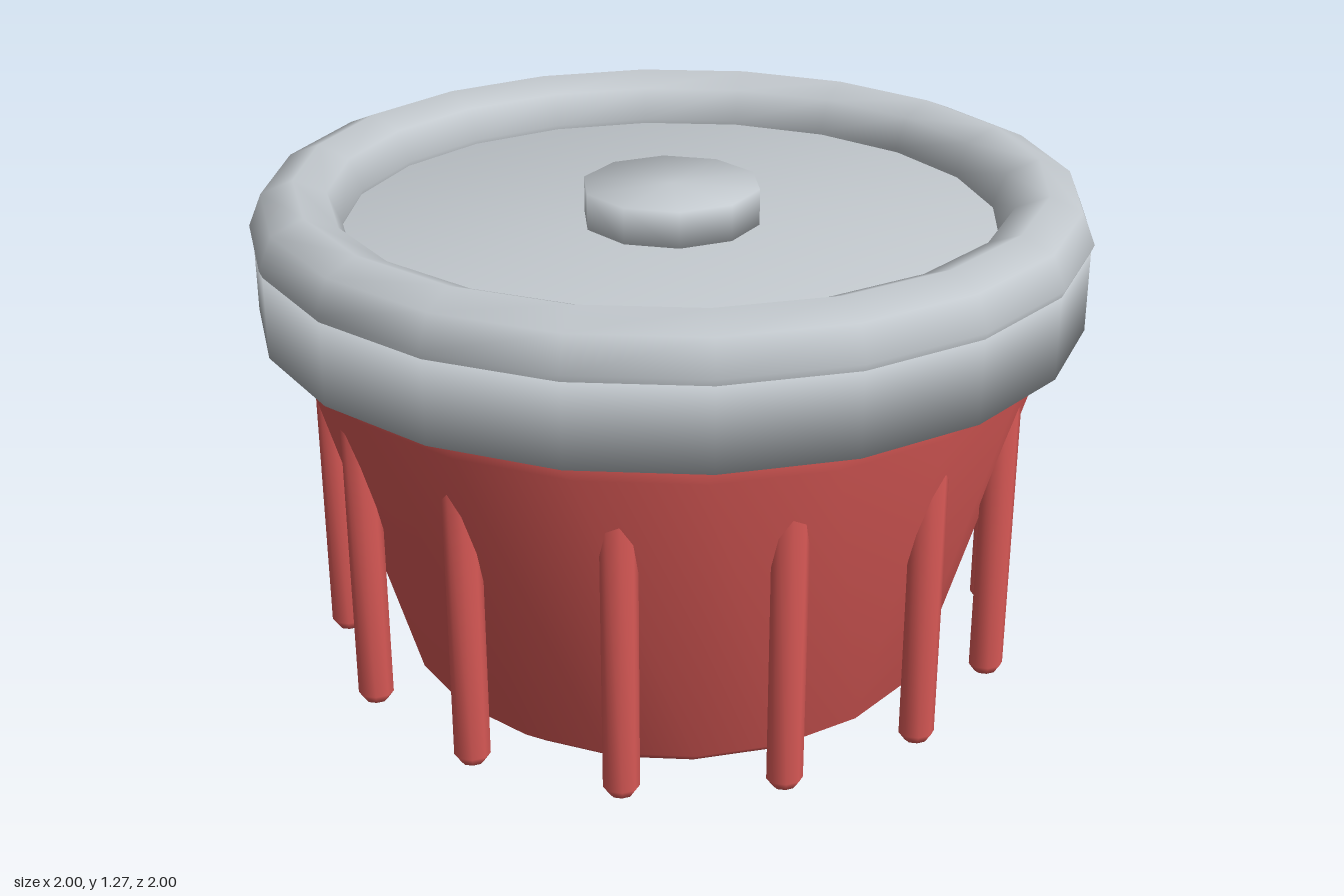
import * as THREE from 'three';
import { mergeVertices } from 'three/addons/utils/BufferGeometryUtils.js';

const SIDES = 20;

// Weld all corners so the shading runs smoothly over every edge
function smooth(geometry) {
  geometry.deleteAttribute('normal');
  geometry.deleteAttribute('uv');
  const welded = mergeVertices(geometry, 1e-4);
  welded.computeVertexNormals();
  return welded;
}

// Closed turned solid from [radius, height] pairs, bottom to top
function turned(profile, sides) {
  const points = profile.map(([r, y]) => new THREE.Vector2(r, y));
  return smooth(new THREE.LatheGeometry(points, sides));
}

export function createModel() {
  const red = new THREE.MeshStandardMaterial({ color: 0xd95956 });
  red.name = 'red';
  const grey = new THREE.MeshStandardMaterial({ color: 0xc3c9ce });
  grey.name = 'light grey';

  const model = new THREE.Group();
  model.name = 'liddedTub';
  const add = (name, geometry, material, parent = model) => {
    const mesh = new THREE.Mesh(geometry, material);
    mesh.name = name;
    parent.add(mesh);
    return mesh;
  };

  // Tapered tub with bevelled base and shoulder
  add('tub', turned([
    [0, 0], [0.585, 0], [0.67, 0.065], [0.907, 0.887], [0.86, 0.955], [0, 0.955],
  ], SIDES), red);

  // Upright ribs around the tub, oval in section, sinking into it at the top
  const ribs = new THREE.Group();
  ribs.name = 'ribs';
  model.add(ribs);
  const ribGeometry = turned([
    [0, 0.07], [0.026, 0.07], [0.042, 0.092], [0.042, 0.8], [0.026, 0.825], [0, 0.825],
  ], 8);
  ribGeometry.scale(1, 1, 0.72);
  const ribCount = 14;
  for (let i = 0; i < ribCount; i++) {
    const a = (i / ribCount) * Math.PI * 2;
    add('rib', ribGeometry, red, ribs).position.set(0.832 * Math.cos(a), 0, 0.832 * Math.sin(a));
  }

  // Lid: flat disc with a deep edge, rounded rim and low knob
  add('lid', turned([[0, 0.952], [0.992, 0.952], [0.992, 1.152], [0, 1.152]], SIDES), grey);

  const rim = new THREE.TorusGeometry(0.89, 0.109, 8, SIDES);
  rim.rotateX(-Math.PI / 2);
  add('rim', smooth(rim), grey).position.y = 1.164;

  add('knob', turned([[0, 1.14], [0.215, 1.14], [0.215, 1.24], [0, 1.24]], 10), grey);

  return model;
}
